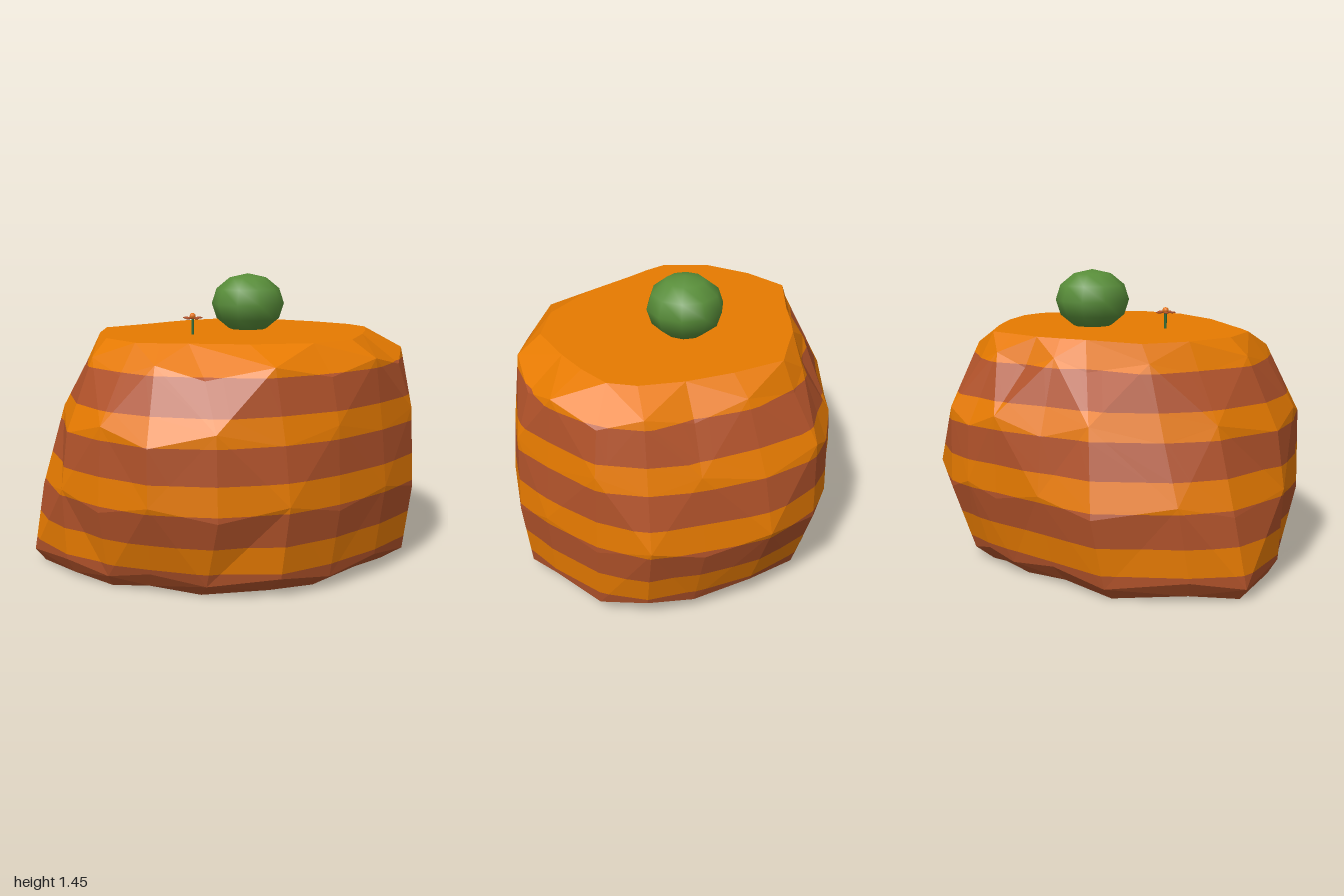
import * as THREE from 'three';

const mat = (name, color, flatShading = false) => {
  const m = new THREE.MeshStandardMaterial({ color, flatShading });
  m.name = name;
  return m;
};

// widest outline and flat top outline of the rock, as matching [x, z] corners
const OUTER = [[1, -0.02], [0.93, 0.28], [0.84, 0.48], [0.6, 0.65], [0.3, 0.78], [0.02, 0.855],
  [-0.31, 0.81], [-0.6, 0.67], [-0.79, 0.46], [-0.94, 0.23], [-1, -0.15], [-0.85, -0.39],
  [-0.57, -0.69], [-0.26, -0.76], [0.01, -0.81], [0.18, -0.86], [0.34, -0.855], [0.63, -0.74],
  [0.84, -0.49], [0.99, -0.29]];
const TOP = [[0.77, 0.02], [0.7, 0.18], [0.61, 0.33], [0.46, 0.53], [0.23, 0.6], [-0.07, 0.55],
  [-0.33, 0.43], [-0.45, 0.38], [-0.56, 0.32], [-0.65, 0.1], [-0.63, -0.15], [-0.55, -0.37],
  [-0.28, -0.48], [-0.16, -0.54], [-0.04, -0.59], [0.12, -0.615], [0.26, -0.64], [0.46, -0.47],
  [0.62, -0.3], [0.74, -0.12]];
const N = OUTER.length;

// Rings from bottom to top: y, zigzag in y, taper towards the top outline, scale and shift
// in x and z. Taper depends on how far a corner lies to -x (l), +x (r), front (f), back (b).
const foot = (l, r, f, b) => 0.8 * l * f + 0.4 * r * b;
const RINGS = [
  { y: 0.015, zig: 0.012, taper: foot, s: [0.9, 0.83], d: [-0.05, 0.01] },
  { y: 0.085, zig: 0.02, taper: foot, s: [0.98, 0.92], d: [-0.02, 0.015] },
  { y: 0.43, zig: 0.03, taper: (l, r, f, b) => 0.18 * l - 0.3 * l * f - 0.15 * l * b, s: [1, 1], d: [0, 0] },
  { y: 0.77, zig: -0.035, s: [1, 1], d: [0, 0],
    taper: (l, r, f, b) => 0.06 + 0.35 * l + 0.06 * (f - b) + 0.35 * l * b - 0.7 * l * f + 0.5 * r * r * b },
  { y: 1.055, zig: 0.03, s: [1, 1], d: [0, 0],
    taper: (l, r, f, b) => 0.5 + 0.27 * (l - r) - 0.17 * f + 0.25 * b + 0.3 * r * f + 0.5 * r * r * b },
  { y: 1.17, zig: 0, taper: () => 1, s: [1, 1], d: [0, 0] },
];

// Heights where the rock changes colour
const BANDS = [-1, 0.13, 0.265, 0.43, 0.57, 0.74, 0.87, 1.04, 2];

function ringPoints(r, k) {
  return OUTER.map(([x, z], i) => {
    const jitter = k > 2 && k < 5 ? 0.025 * Math.sin(i * 2.7 + k * 1.9) : 0;
    const taper = r.taper(Math.max(0, -x), Math.max(0, x), Math.max(0, z), Math.max(0, -z));
    const t = THREE.MathUtils.clamp(taper + jitter, 0, 1);
    return new THREE.Vector3(
      THREE.MathUtils.lerp(x, TOP[i][0], t) * r.s[0] + r.d[0],
      r.y + (i % 2 ? r.zig : -r.zig),
      THREE.MathUtils.lerp(z, TOP[i][1], t) * r.s[1] + r.d[1]);
  });
}

// Keep the part of a polygon above (sign 1) or below (sign -1) a height
function clip(poly, h, sign) {
  const out = [];
  poly.forEach((a, i) => {
    const b = poly[(i + 1) % poly.length];
    const da = (a.y - h) * sign, db = (b.y - h) * sign;
    if (da >= 0) out.push(a);
    if (da * db < 0) out.push(a.clone().lerp(b, da / (da - db)));
  });
  return out;
}

function buildRock(materials) {
  const rings = RINGS.map(ringPoints);
  const tris = [];
  const low = new THREE.Vector3(0, 0.02, 0), high = new THREE.Vector3(0.05, 1.17, 0);
  for (let i = 0; i < N; i++) {
    const j = (i + 1) % N;
    for (let k = 0; k < rings.length - 1; k++) {
      const a = rings[k][i], b = rings[k][j], c = rings[k + 1][j], d = rings[k + 1][i];
      if ((i + k) % 2) tris.push([a, d, c], [a, c, b]);
      else tris.push([a, d, b], [b, d, c]);
    }
    tris.push([low, rings[0][i], rings[0][j]]);
    tris.push([high, rings[5][j], rings[5][i]]);
  }
  // cut every facet at the band heights
  const parts = [[], []];
  for (const tri of tris) {
    for (let n = 0; n < BANDS.length - 1; n++) {
      const p = clip(clip(tri, BANDS[n], 1), BANDS[n + 1], -1);
      for (let v = 1; v < p.length - 1; v++) {
        for (const q of [p[0], p[v], p[v + 1]]) parts[n % 2].push(q.x, q.y, q.z);
      }
    }
  }
  const rock = new THREE.Group();
  rock.name = 'rock';
  parts.forEach((pos, n) => {
    const g = new THREE.BufferGeometry();
    g.setAttribute('position', new THREE.Float32BufferAttribute(pos, 3));
    g.computeVertexNormals();
    const mesh = new THREE.Mesh(g, materials[n]);
    mesh.name = n ? 'orangeRockBands' : 'brownRockBands';
    rock.add(mesh);
  });
  return rock;
}

function buildFlower(stemMat, petalMat, centreMat) {
  const flower = new THREE.Group();
  flower.name = 'flower';
  const add = (name, geo, m, y) => {
    const mesh = new THREE.Mesh(geo, m);
    mesh.name = name;
    mesh.position.y = y;
    flower.add(mesh);
    return mesh;
  };
  add('stem', new THREE.CylinderGeometry(0.007, 0.007, 0.09, 6), stemMat, 0.04);
  const petal = new THREE.SphereGeometry(1, 8, 6).scale(0.021, 0.005, 0.012).translate(0.032, 0, 0);
  for (let i = 0; i < 5; i++) {
    add('petal', petal, petalMat, 0.083).rotation.y = i * Math.PI * 0.4;
  }
  add('flowerCentre', new THREE.SphereGeometry(0.016, 8, 6), centreMat, 0.092);
  flower.position.set(-0.208, 1.17, 0.085);
  return flower;
}

export function createModel() {
  const model = new THREE.Group();
  model.name = 'bandedRock';
  const brown = mat('brownRock', 0xb0522a, true);
  const orange = mat('orangeRock', 0xe67a00, true);
  const leaf = mat('leafGreen', 0x588d39);
  const stem = mat('stemGreen', 0x35703a);
  const petal = mat('petalBrown', 0xb0522a);
  const centre = mat('flowerOrange', 0xe8761a);

  model.add(buildRock([brown, orange]));

  // round bush, flattened and partly sunk into the flat top
  const bush = new THREE.Mesh(new THREE.SphereGeometry(0.19, 10, 6).scale(1, 0.82, 1), leaf);
  bush.name = 'bush';
  bush.rotation.y = Math.PI / 2;
  bush.position.set(0.15, 1.302, -0.1);
  model.add(bush);

  model.add(buildFlower(stem, petal, centre));
  return model;
}
